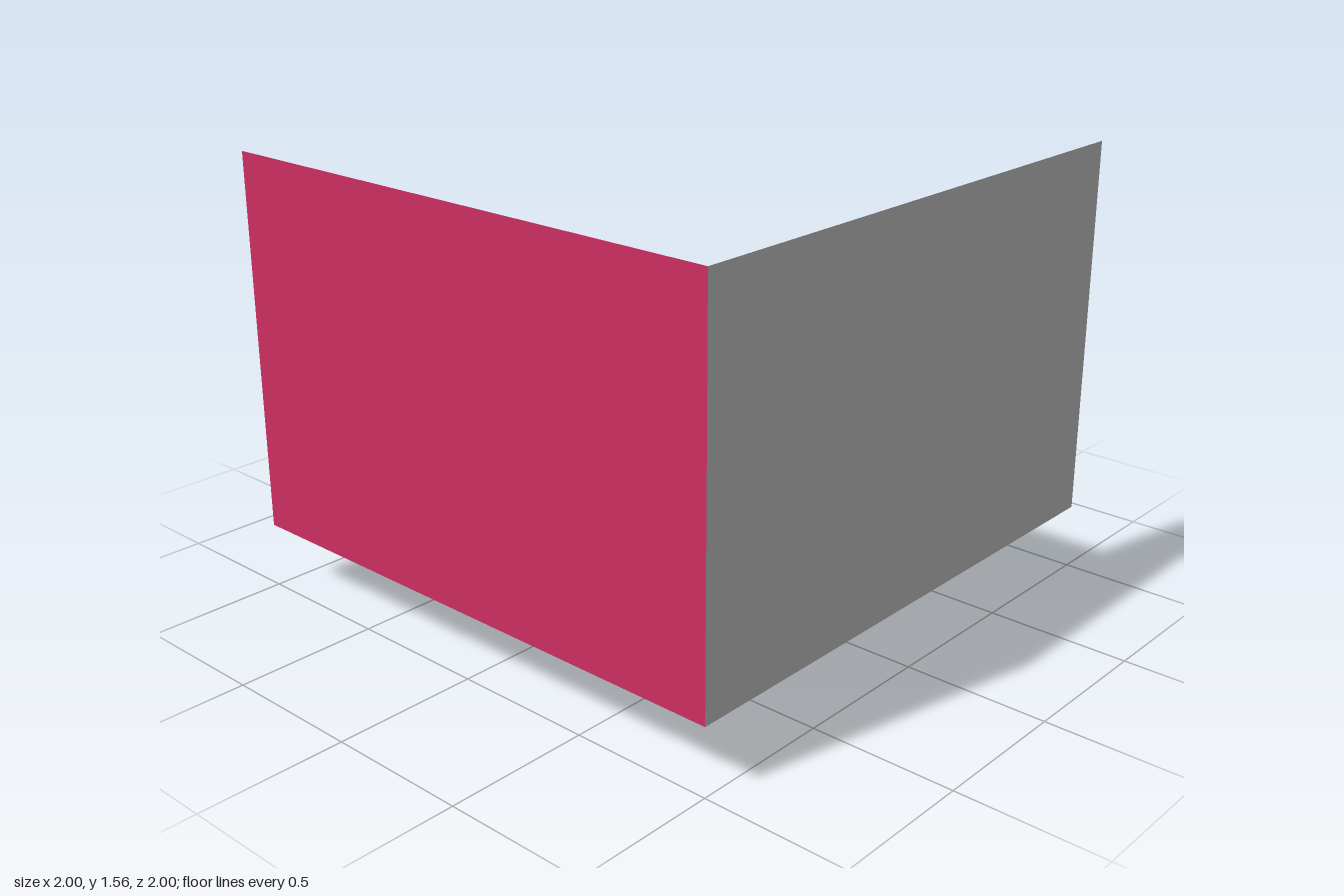
import * as THREE from 'three';
import { RoundedBoxGeometry } from 'three/addons/geometries/RoundedBoxGeometry.js';
import { toCreasedNormals } from 'three/addons/utils/BufferGeometryUtils.js';

const grey = new THREE.MeshStandardMaterial({ color: 0xcccccc, side: THREE.DoubleSide });
const red = new THREE.MeshStandardMaterial({ color: 0xcd2f62, side: THREE.DoubleSide });

const BODY = { x: -0.01, y: 0.317, length: 0.95, height: 0.314, depth: 0.206 };
const AXIS_X = -0.072;

function add(parent, name, geometry, material = grey, x = 0, y = 0, z = 0) {
  const mesh = new THREE.Mesh(geometry, material);
  mesh.name = name;
  mesh.position.set(x, y, z);
  parent.add(mesh);
  return mesh;
}

// Turned part from [radius, height] pairs
function turned(points) {
  const profile = points.map(([r, y]) => new THREE.Vector2(r, y));
  return toCreasedNormals(new THREE.LatheGeometry(profile, 48), 0.6);
}

function roundedRect(path, w, h, r) {
  const x = w / 2, y = h / 2;
  path.moveTo(-x + r, -y);
  path.lineTo(x - r, -y);
  path.absarc(x - r, -y + r, r, -Math.PI / 2, 0);
  path.lineTo(x, y - r);
  path.absarc(x - r, y - r, r, 0, Math.PI / 2);
  path.lineTo(-x + r, y);
  path.absarc(-x + r, y - r, r, Math.PI / 2, Math.PI);
  path.lineTo(-x, -y + r);
  path.absarc(-x + r, -y + r, r, Math.PI, Math.PI * 1.5);
  return path;
}

// Closed band wrapped round the body section
function strapGeometry() {
  const shape = roundedRect(new THREE.Shape(), 0.236, 0.342, 0.05);
  shape.holes.push(roundedRect(new THREE.Path(), 0.2, 0.308, 0.036));
  const geo = new THREE.ExtrudeGeometry(shape, { depth: 0.018, bevelEnabled: false, curveSegments: 8 });
  geo.translate(0, 0, -0.009).rotateY(Math.PI / 2);
  return toCreasedNormals(geo, 0.6);
}

// U-shaped wire handle standing out from a long side
function handleGeometry(x0, x1, y, zIn, zOut) {
  const c = 0.022, zc = zOut - Math.sign(zOut) * c;
  const p = (x, z) => new THREE.Vector3(x, y, z);
  const path = new THREE.CurvePath();
  path.add(new THREE.LineCurve3(p(x0, zIn), p(x0, zc)));
  path.add(new THREE.QuadraticBezierCurve3(p(x0, zc), p(x0, zOut), p(x0 + c, zOut)));
  path.add(new THREE.LineCurve3(p(x0 + c, zOut), p(x1 - c, zOut)));
  path.add(new THREE.QuadraticBezierCurve3(p(x1 - c, zOut), p(x1, zOut), p(x1, zc)));
  path.add(new THREE.LineCurve3(p(x1, zc), p(x1, zIn)));
  return new THREE.TubeGeometry(path, 64, 0.004, 8);
}

export function createModel() {
  const model = new THREE.Group();
  model.name = 'mountedDevice';

  // Floor and two walls
  const floorY = 0.23, wallH = 1.33;
  add(model, 'floor', new THREE.PlaneGeometry(2, 2).rotateX(-Math.PI / 2), red, 0, floorY, 0);
  add(model, 'sideWall', new THREE.PlaneGeometry(2, wallH).rotateY(Math.PI / 2), red, -1, floorY + wallH / 2, 0);
  add(model, 'frontWall', new THREE.PlaneGeometry(2, wallH), grey, 0, floorY + wallH / 2, 1);

  // Long rounded housing with two straps
  add(model, 'housing', new RoundedBoxGeometry(BODY.length, BODY.height, BODY.depth, 5, 0.036), grey, BODY.x, BODY.y, 0);
  for (const x of [-0.364, 0.342]) add(model, 'strap', strapGeometry(), grey, x, BODY.y, 0);

  // Side handles
  add(model, 'backHandle', handleGeometry(-0.02, 0.182, 0.25, -0.09, -0.136));
  add(model, 'frontHandle', handleGeometry(-0.1, 0.178, 0.25, 0.07, 0.106));

  // Round pod under the housing
  const pod = new THREE.Group();
  pod.name = 'pod';
  pod.position.x = AXIS_X;
  model.add(pod);
  add(pod, 'podDrum', turned([
    [0, 0.006], [0.08, 0.006], [0.094, 0.01], [0.102, 0.02], [0.104, 0.03],
    [0.104, 0.13], [0.1, 0.142], [0.09, 0.15], [0.062, 0.154], [0.06, 0.17], [0, 0.17],
  ]));
  add(pod, 'podRim', new THREE.TorusGeometry(0.105, 0.006, 8, 48).rotateX(Math.PI / 2), grey, 0, 0.108, 0);
  add(pod, 'podButton', new THREE.CylinderGeometry(0.012, 0.01, 0.01, 20), grey, 0, 0.005, 0);

  // Fitting on top: saddle, column and cup
  const fitting = new THREE.Group();
  fitting.name = 'topFitting';
  fitting.position.x = AXIS_X;
  model.add(fitting);
  add(fitting, 'saddlePlate', new RoundedBoxGeometry(0.134, 0.024, 0.104, 3, 0.008), grey, 0, 0.476, 0);
  add(fitting, 'saddle', new THREE.CylinderGeometry(0.044, 0.044, 0.124, 32).rotateZ(Math.PI / 2), grey, 0, 0.484, 0);
  add(fitting, 'column', turned([
    [0, 0.47], [0.043, 0.47], [0.043, 0.565], [0.036, 0.577], [0.022, 0.579],
    [0.022, 0.612], [0.031, 0.617], [0.032, 0.655], [0.038, 0.668], [0.038, 0.678], [0, 0.68],
  ]));
  add(fitting, 'tip', new THREE.CylinderGeometry(0.005, 0.006, 0.034, 12), grey, 0, 0.69, 0);

  return model;
}
